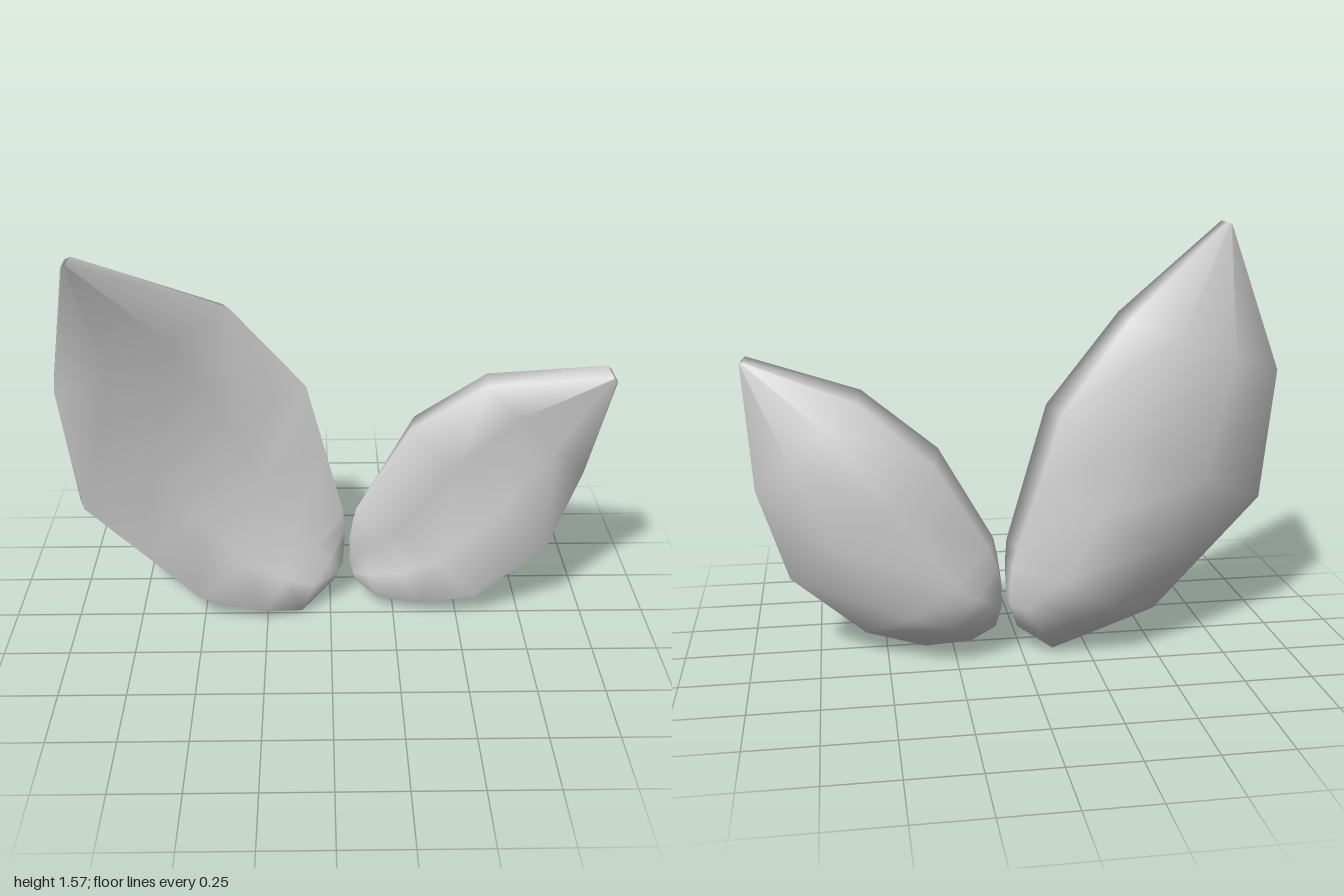
import * as THREE from 'three';
import { mergeVertices } from 'three/addons/utils/BufferGeometryUtils.js';

// Each row runs from the outer rim to the inner rim:
// [outer x, y, front z, back z,  inner x, y, front z, back z,  hollow of the front, bulge of the back]
const LARGE = [
  [0.02, 0.11, -0.08, -0.14, 0.05, 0.2, -0.07, -0.15, 0, 0],
  [-0.12, 0.0, 0.0, -0.11, 0.055, 0.29, -0.07, -0.15, 0.03, 0.07],
  [-0.28, 0.035, 0.06, -0.07, 0.055, 0.36, -0.07, -0.15, 0.04, 0.12],
  [-0.53, 0.11, 0.075, -0.04, 0.05, 0.43, -0.07, -0.15, 0.06, 0.17],
  [-0.74, 0.32, 0.085, -0.02, -0.02, 0.69, -0.09, -0.19, 0.05, 0.175],
  [-0.95, 0.53, 0.1, 0.0, -0.09, 0.95, -0.11, -0.21, 0.02, 0.125],
  [-1.0, 1.03, 0.12, 0.0, -0.36, 1.275, -0.07, -0.16, -0.05, 0.08],
  [-0.87, 1.56, 0.29, 0.21, -0.85, 1.57, 0.29, 0.21, 0, 0],
];
const SMALL = [
  [0.1, 0.11, -0.07, -0.13, 0.075, 0.2, -0.07, -0.14, 0, 0],
  [0.19, 0.05, -0.02, -0.11, 0.075, 0.3, -0.07, -0.15, 0.03, 0.06],
  [0.36, 0.035, 0.01, -0.1, 0.085, 0.37, -0.07, -0.15, 0.04, 0.11],
  [0.58, 0.09, 0.05, -0.07, 0.1, 0.44, -0.07, -0.16, 0.05, 0.14],
  [0.85, 0.31, 0.05, -0.05, 0.3, 0.79, -0.06, -0.23, 0.02, 0.1],
  [0.96, 0.65, 0.045, -0.05, 0.57, 1.0, 0.01, -0.15, -0.02, 0.05],
  [1.0, 1.09, 0.17, 0.06, 0.985, 1.105, 0.17, 0.06, 0, 0],
];

// positions across the leaf and how strongly each is pushed back
const FRONT = { steps: [0.035, 0.33, 0.67, 1], push: [0, 1, 1, 0] };
const BACK = { steps: [0, 0.33, 0.67, 0.95], push: [0, 1.1, 0.95, 0] };

function leafGeometry(rows, flip) {
  const pos = [];
  const index = [];
  const lerp = THREE.MathUtils.lerp;
  // closed ring per row: front from outer to inner, then back again
  for (const [ox, oy, of, ob, ix, iy, jf, jb, hollow, bulge] of rows) {
    for (let j = 0; j < 8; j++) {
      const front = j < 4;
      const k = front ? j : 7 - j;
      const side = front ? FRONT : BACK;
      const t = side.steps[k];
      const z = front
        ? lerp(of, jf, t) - side.push[k] * hollow
        : lerp(ob, jb, t) - side.push[k] * bulge;
      pos.push(lerp(ox, ix, t), lerp(oy, iy, t), z);
    }
  }
  const quad = (a, b, c, d) => {
    if (flip) index.push(a, c, b, a, d, c);
    else index.push(a, b, c, a, c, d);
  };
  for (let i = 0; i < rows.length - 1; i++) {
    for (let j = 0; j < 8; j++) {
      const a = i * 8 + j;
      const b = i * 8 + (j + 1) % 8;
      quad(a, b, b + 8, a + 8);
    }
  }
  // end caps
  const tip = (rows.length - 1) * 8;
  for (let j = 0; j < 3; j++) {
    quad(7 - j, 6 - j, j + 1, j);
    quad(tip + j, tip + j + 1, tip + 6 - j, tip + 7 - j);
  }
  const g = new THREE.BufferGeometry();
  g.setAttribute('position', new THREE.Float32BufferAttribute(pos, 3));
  g.setIndex(index);
  const merged = mergeVertices(g);
  merged.computeVertexNormals();
  return merged;
}

export function createModel() {
  const group = new THREE.Group();
  const grey = new THREE.MeshStandardMaterial({ color: 0xcccccc });
  grey.name = 'leafGrey';

  const large = new THREE.Mesh(leafGeometry(LARGE, false), grey);
  large.name = 'largeLeaf';
  const small = new THREE.Mesh(leafGeometry(SMALL, true), grey);
  small.name = 'smallLeaf';
  group.add(large, small);
  return group;
}
